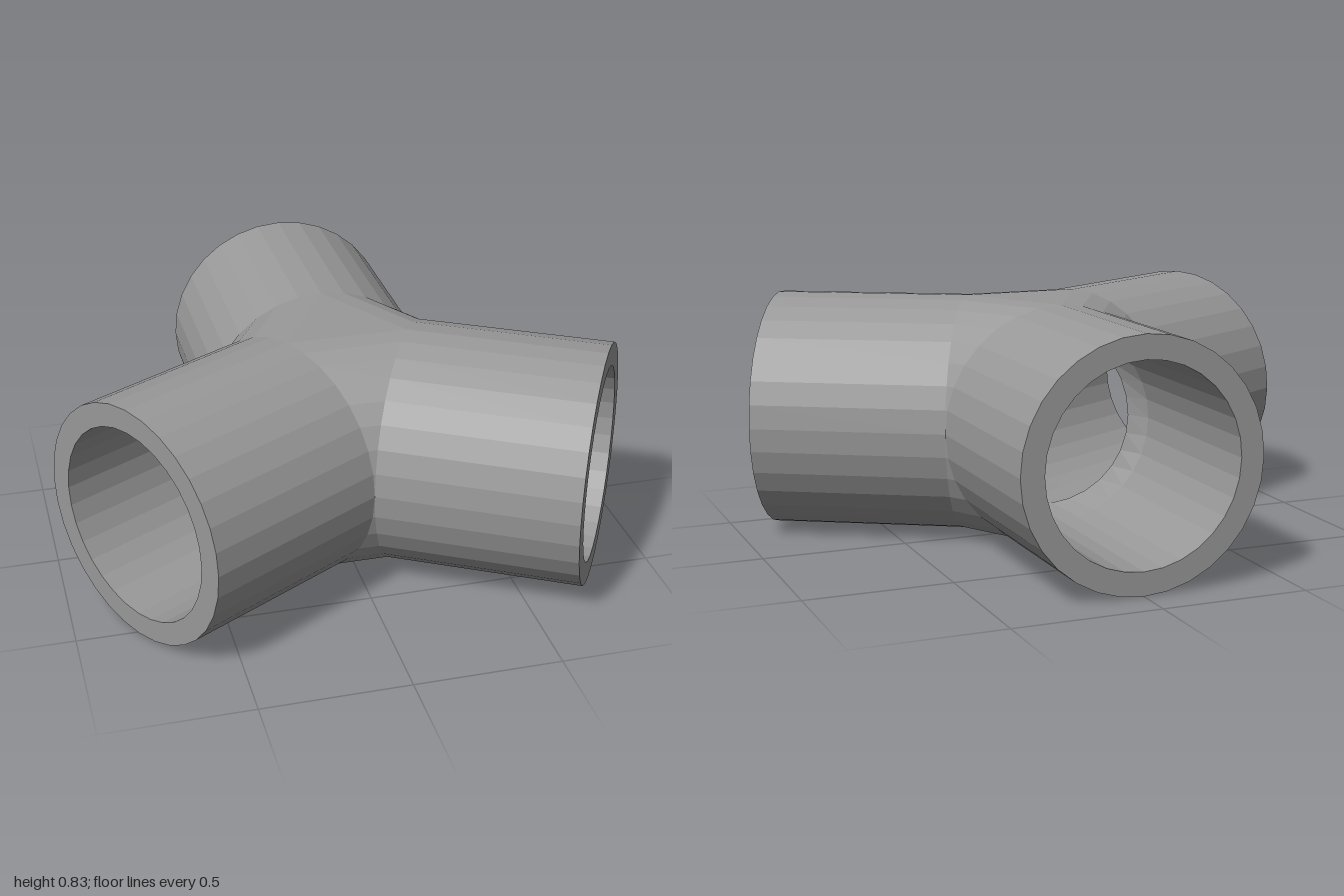
import * as THREE from 'three';

const R = 0.415;               // outer radius, also axis height
const BORE = 0.335;            // inner radius
const START = R / Math.sqrt(3); // where neighbouring arms touch
const END = 0.915;             // arm length from the hub centre
const HUB_Z = 0.05;
const SIDES = 32;
const THIRD = Math.PI * 2 / 3;

// Point on an arm: s along its axis, u sideways, v above the axis
function armPoint(a, s, u, v) {
  const sn = Math.sin(a), cs = Math.cos(a);
  return [s * sn + u * cs, R + v, HUB_Z + s * cs - u * sn];
}

// Arc of points around an arm, from the top towards one side
function arc(a, s, r, steps, side = 1) {
  return Array.from({ length: steps + 1 }, (_, i) => {
    const t = i * 2 * Math.PI / SIDES;
    return armPoint(a, s, side * r * Math.sin(t), r * Math.cos(t));
  });
}

// Faceted skin across columns listed left to right, each running top to bottom
function skin(columns, out = []) {
  for (let c = 0; c + 1 < columns.length; c++) {
    const A = columns[c], B = columns[c + 1];
    for (let i = 0; i + 1 < A.length; i++) {
      out.push(...A[i], ...A[i + 1], ...B[i + 1], ...A[i], ...B[i + 1], ...B[i]);
    }
  }
  return out;
}

function toMesh(name, positions, material) {
  const g = new THREE.BufferGeometry();
  g.setAttribute('position', new THREE.Float32BufferAttribute(positions, 3));
  g.computeVertexNormals();
  const m = new THREE.Mesh(g, material);
  m.name = name;
  return m;
}

export function createModel() {
  const group = new THREE.Group();
  group.name = 'threeWayPipeJoint';
  const grey = new THREE.MeshStandardMaterial({ color: 0x999999, flatShading: true });
  grey.name = 'grey';

  const names = ['leftArm', 'backArm', 'rightArm'];
  const hubOuter = [], hubInner = [];
  const half = SIDES / 2;

  names.forEach((name, k) => {
    const a = THIRD / 2 + k * THIRD, b = a + THIRD;

    // Hollow arm: bore, end rim, outer wall
    group.add(toMesh(name, skin([
      arc(a, START, BORE, SIDES), arc(a, END, BORE, SIDES),
      arc(a, END, R, SIDES), arc(a, START, R, SIDES),
    ]), grey));

    // Outer web bridging this arm to the next
    skin([arc(a, START, R, half), arc(b, START, R, half, -1)], hubOuter);

    // Inner web, folded along a half-round ridge between the two bores
    const ridge = arc(a + THIRD / 2 - Math.PI / 2, 0, BORE, half);
    skin([arc(b, START, BORE, half, -1), ridge, arc(a, START, BORE, half)], hubInner);
  });

  // Flat triangles closing the top and bottom of the hub
  const angles = [0, 1, 2].map(k => THIRD / 2 + k * THIRD);
  angles.forEach(a => hubOuter.push(...armPoint(a, START, 0, R)));
  angles.reverse().forEach(a => hubOuter.push(...armPoint(a, START, 0, -R)));

  group.add(toMesh('hubOuter', hubOuter, grey), toMesh('hubInner', hubInner, grey));
  return group;
}
